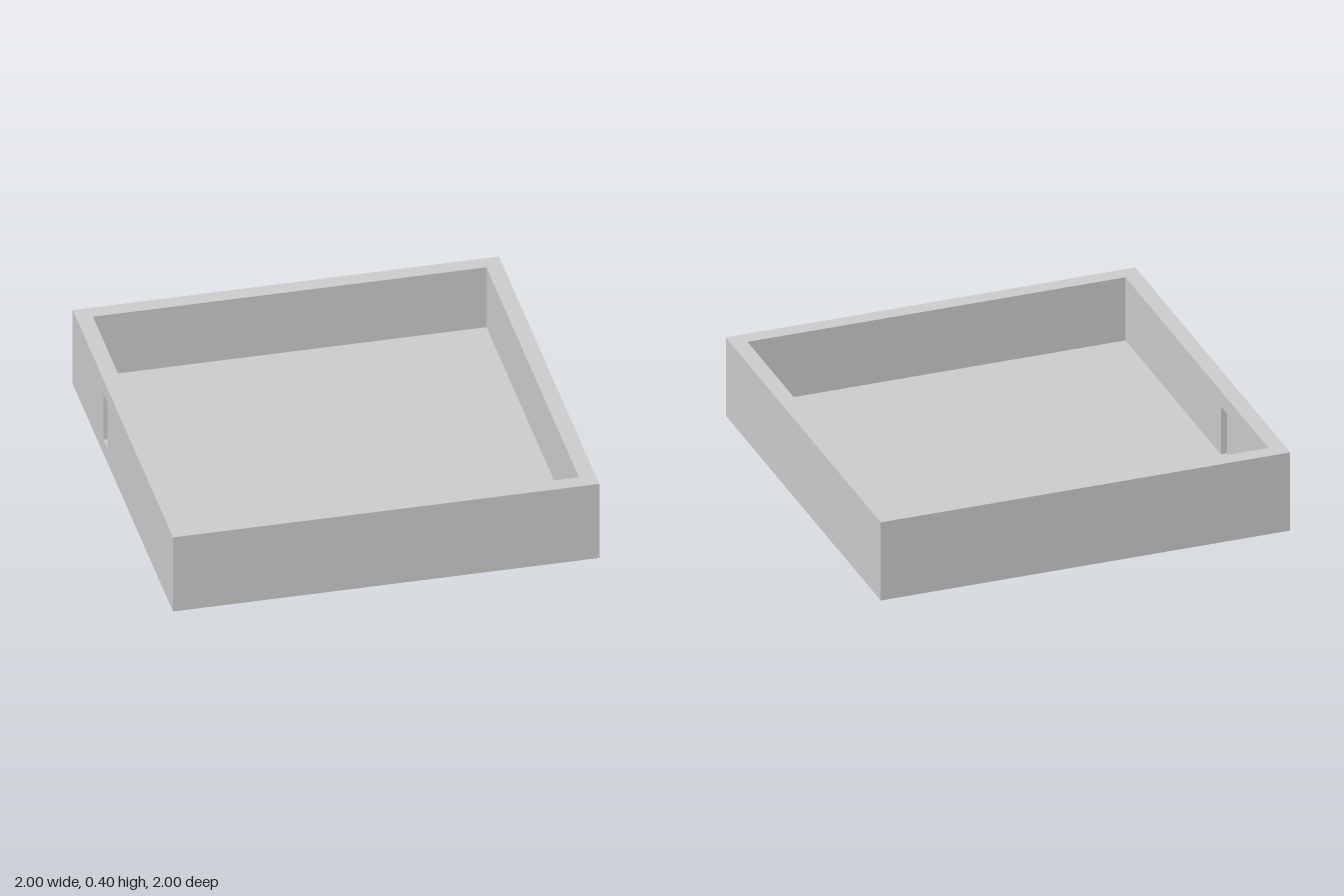
import * as THREE from 'three';
import { mergeGeometries } from 'three/addons/utils/BufferGeometryUtils.js';

const OUT = 1, WALL = 0.077, IN = OUT - WALL;   // half-width outside and inside
const HEIGHT = 0.4, FLOOR = 0.077;
const SLOT = { z0: -0.385, z1: -0.308, top: 0.323 };

const polygon = (points) => new THREE.Shape(points.map(([x, y]) => new THREE.Vector2(x, y)));
const rect = (x0, y0, x1, y1) => polygon([[x0, y0], [x1, y0], [x1, y1], [x0, y1]]);
const square = (h) => rect(-h, -h, h, h);

// Flat panel facing +z, moved out by d and then turned about y
const wallPanel = (shape, d, angle) =>
  new THREE.ShapeGeometry(shape).translate(0, 0, d).rotateY(angle);

// Flat panel facing up at height y
const levelPanel = (shape, y) =>
  new THREE.ShapeGeometry(shape).rotateX(-Math.PI / 2).translate(0, y, 0);

export function createModel() {
  const group = new THREE.Group();
  const material = new THREE.MeshStandardMaterial({ color: 0xcccccc });
  const add = (name, geometries) => {
    const mesh = new THREE.Mesh(mergeGeometries(geometries), material);
    mesh.name = name;
    group.add(mesh);
  };

  // Outer and inner wall faces; the wall at -x is pierced by the slot
  const outer = [], inner = [];
  for (let i = 0; i < 4; i++) {
    const angle = i * Math.PI / 2;
    const outside = rect(-OUT, 0, OUT, HEIGHT);
    if (i === 3) outside.holes.push(rect(SLOT.z0, FLOOR, SLOT.z1, SLOT.top));
    outer.push(wallPanel(outside, OUT, angle));

    // Inside, the slot reaches down to the floor as a notch
    const inside = i === 1
      ? polygon([[-IN, FLOOR], [-SLOT.z1, FLOOR], [-SLOT.z1, SLOT.top], [-SLOT.z0, SLOT.top],
        [-SLOT.z0, FLOOR], [IN, FLOOR], [IN, HEIGHT], [-IN, HEIGHT]])
      : rect(-IN, FLOOR, IN, HEIGHT);
    inner.push(wallPanel(inside, -IN, angle));
  }
  add('outerWalls', outer);
  add('innerWalls', inner);

  // Rim on top of the walls
  const rim = square(OUT);
  rim.holes.push(square(IN));
  add('rim', [levelPanel(rim, HEIGHT)]);

  // Tray floor and underside
  add('floor', [levelPanel(square(IN), FLOOR)]);
  add('underside', [new THREE.ShapeGeometry(square(OUT)).rotateX(Math.PI / 2)]);

  // Four faces lining the slot through the wall
  const w = SLOT.z1 - SLOT.z0, h = SLOT.top - FLOOR;
  const lining = [0, 1, 2, 3].map((k) => {
    const [size, gap] = k % 2 ? [w, h] : [h, w];
    return new THREE.PlaneGeometry(WALL, size)
      .translate(0, 0, -gap / 2)
      .rotateX(k * Math.PI / 2)
      .translate(-(OUT + IN) / 2, (FLOOR + SLOT.top) / 2, (SLOT.z0 + SLOT.z1) / 2);
  });
  add('slotLining', lining);

  return group;
}
